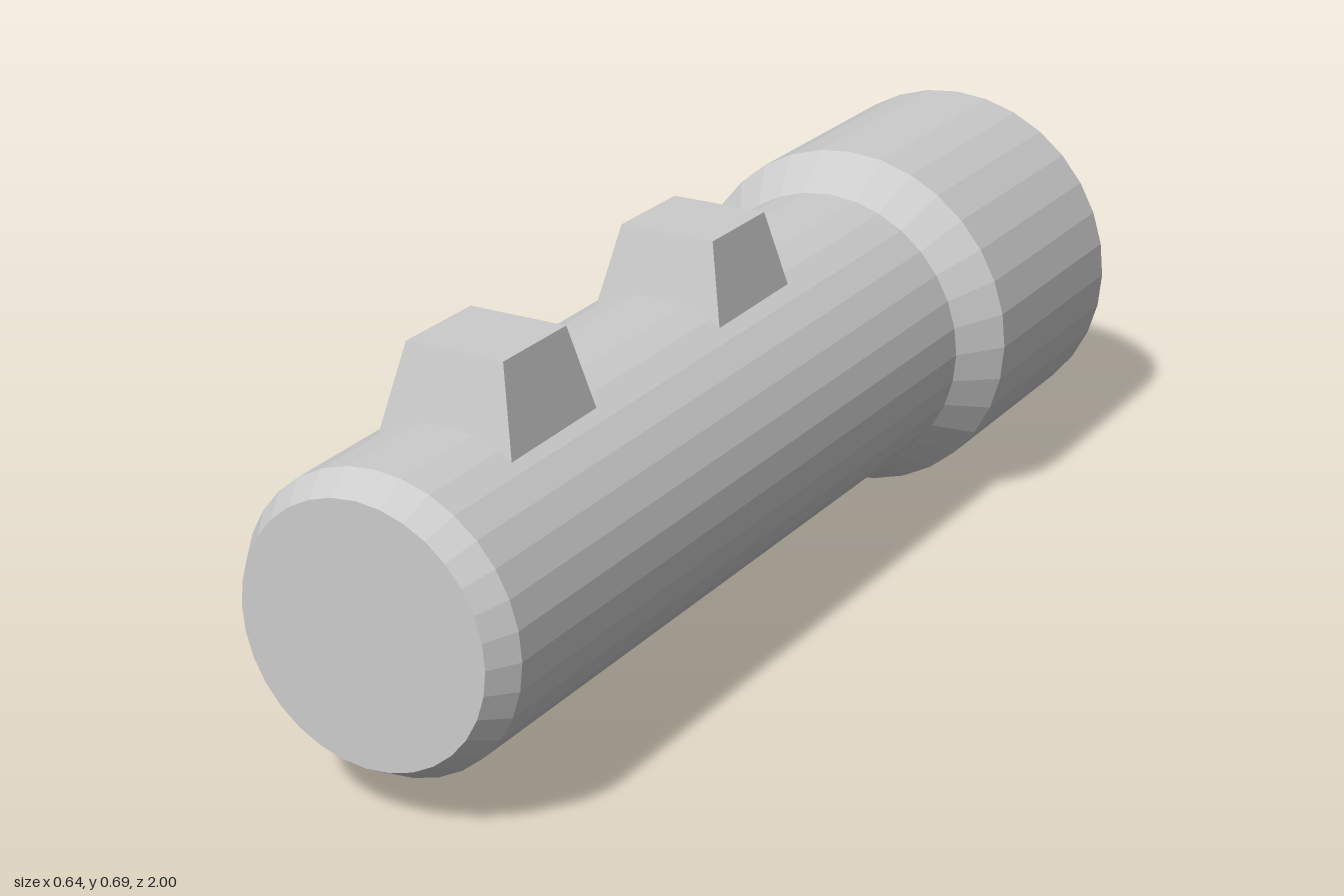
import * as THREE from 'three';

const AXIS_Y = 0.323;
const material = new THREE.MeshStandardMaterial({ color: 0xcccccc, flatShading: true });

// Surface of revolution about the z axis, from [radius, z] pairs running back to front
function turned(name, profile) {
  const points = profile.map(([r, z]) => new THREE.Vector2(r, z));
  const geometry = new THREE.LatheGeometry(points, 32).rotateX(Math.PI / 2);
  const mesh = new THREE.Mesh(geometry, material);
  mesh.name = name;
  mesh.position.y = AXIS_Y;
  return mesh;
}

// Square button with sloping sides, its foot sunk into the barrel
function button(name, z) {
  const bottom = 0.5, top = 0.686, halfTop = 0.0875, halfBottom = 0.13;
  const geometry = new THREE.CylinderGeometry(
    halfTop * Math.SQRT2, halfBottom * Math.SQRT2, top - bottom, 4, 1, false, Math.PI / 4);
  const mesh = new THREE.Mesh(geometry, material);
  mesh.name = name;
  mesh.position.set(0, (top + bottom) / 2, z);
  return mesh;
}

export function createModel() {
  const group = new THREE.Group();
  group.name = 'flashlight';

  // Slightly tapered barrel with a chamfered, closed front end
  group.add(turned('barrel', [[0.263, -0.47], [0.25, 0.95], [0.219, 1], [0, 1]]));

  // Wider head: tapered reflector recess, flat rim, outer wall and shoulder
  group.add(turned('head', [
    [0.215, -0.92], [0.272, -1], [0.322, -1], [0.322, -0.55], [0.263, -0.47],
  ]));

  // Flat lens at the bottom of the recess
  group.add(turned('lens', [[0, -0.92], [0.215, -0.92]]));

  // Two buttons along the top
  group.add(button('frontButton', 0.65), button('rearButton', 0.025));

  return group;
}
